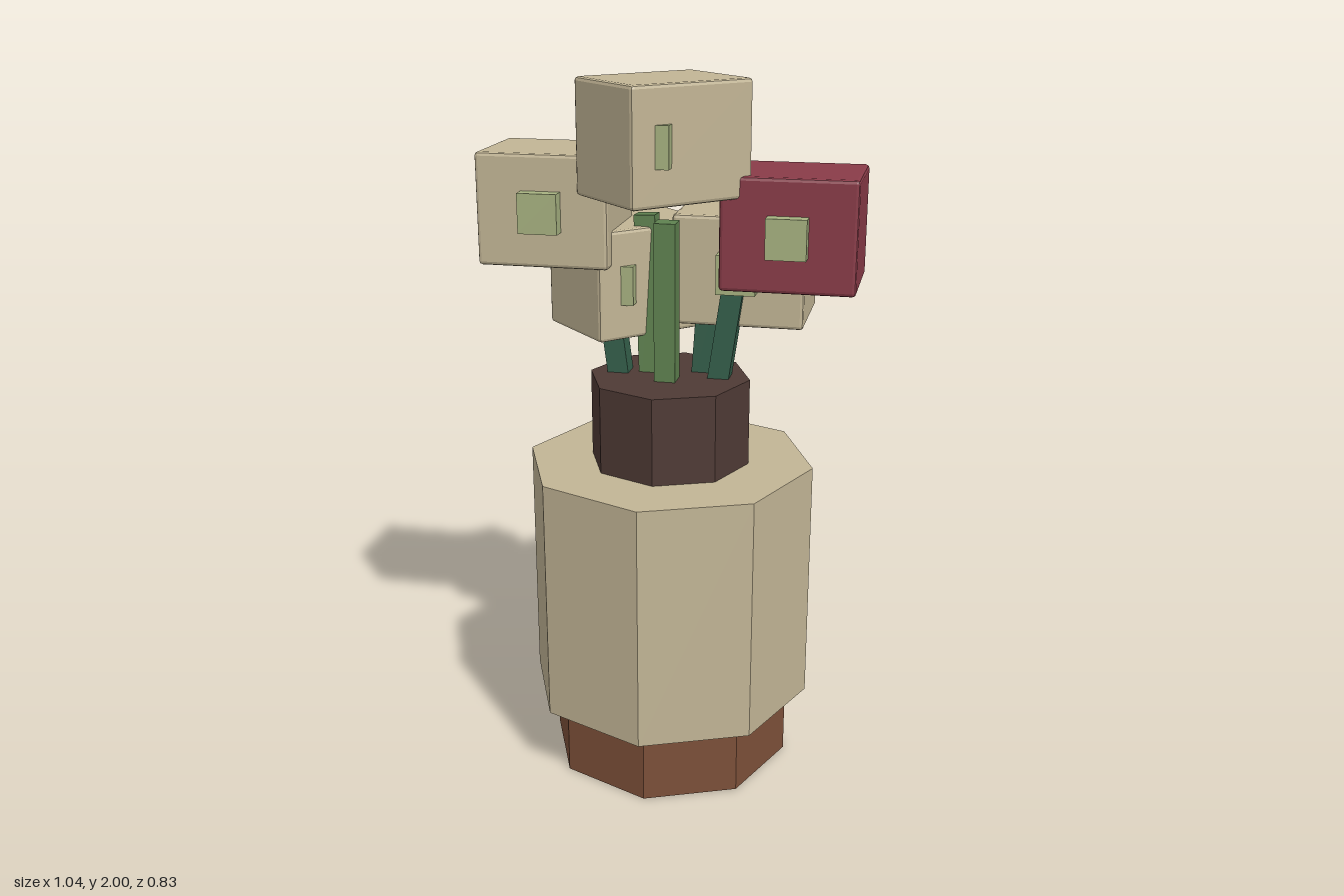
import * as THREE from 'three';
import { RoundedBoxGeometry } from 'three/addons/geometries/RoundedBoxGeometry.js';

function mat(name, color) {
  const m = new THREE.MeshStandardMaterial({ color, flatShading: true });
  m.name = name;
  return m;
}

export function createModel() {
  const beige = mat('beige', 0xc2b595);
  const red = mat('dark red', 0x893b48);
  const clay = mat('clay brown', 0x7c5039);
  const brown = mat('dark brown', 0x4f3a35);
  const green = mat('leaf green', 0x5f8250);
  const deepGreen = mat('deep green', 0x345e4a);
  const paleGreen = mat('pale green', 0xa7b281);

  const model = new THREE.Group();
  model.name = 'flowerVase';
  function add(parent, name, geometry, material, x, y, z) {
    const mesh = new THREE.Mesh(geometry, material);
    mesh.name = name;
    mesh.position.set(x, y, z);
    parent.add(mesh);
    return mesh;
  }

  // Octagonal vase: name, radius, bottom, top, colour
  const vase = new THREE.Group();
  vase.name = 'vase';
  model.add(vase);
  for (const [name, r, y0, y1, m] of [
    ['vaseBase', 0.355, 0, 0.21, clay],
    ['vaseBody', 0.415, 0.21, 0.92, beige],
    ['vaseNeck', 0.23, 0.92, 1.17, brown],
  ]) add(vase, name, new THREE.CylinderGeometry(r, r, y1 - y0, 8), m, 0, (y0 + y1) / 2, 0);

  // Square stems, leaning from the neck towards the blooms
  for (const [name, a, b, m] of [
    ['centreStem', [0, 1.1, 0.04], [0, 1.615, 0.04], green],
    ['shortStem', [-0.06, 1.1, -0.04], [-0.08, 1.615, -0.065], green],
    ['leftStem', [-0.14, 1.1, -0.02], [-0.2, 1.56, -0.03], deepGreen],
    ['rightStem', [0.13, 1.1, -0.02], [0.19, 1.52, -0.025], deepGreen],
    ['backStem', [0.08, 1.1, -0.07], [0.1, 1.42, -0.08], deepGreen],
  ]) {
    const from = new THREE.Vector3(...a), dir = new THREE.Vector3(...b).sub(from);
    const length = dir.length();
    const mid = from.clone().addScaledVector(dir, 0.5);
    const stem = add(model, name, new THREE.BoxGeometry(0.06, length, 0.06), m, mid.x, mid.y, mid.z);
    stem.quaternion.setFromUnitVectors(new THREE.Vector3(0, 1, 0), dir.normalize());
  }

  // Blooms: chamfered blocks, some turned, each with a forward-facing centre
  const block = new RoundedBoxGeometry(0.37, 0.31, 0.29, 1, 0.01);
  const centre = new THREE.BoxGeometry(0.11, 0.11, 0.1);
  for (const [name, x, y, z, turn, m] of [
    ['topBloom', 0, 1.845, 0.08, Math.PI / 4, beige],
    ['redBloom', 0.335, 1.595, -0.065, 0, red],
    ['sideBloom', -0.335, 1.64, -0.045, 0, beige],
    ['lowBloom', -0.15, 1.43, -0.147, Math.PI / 4, beige],
    ['backBloom', 0.187, 1.47, -0.165, 0, beige],
  ]) {
    const bloom = new THREE.Group();
    bloom.name = name;
    bloom.position.set(x, y, z);
    add(bloom, 'bloomHead', block, m, 0, 0, 0).rotation.y = turn;
    add(bloom, 'bloomCentre', centre, paleGreen, 0, 0, 0.135);
    model.add(bloom);
  }
  return model;
}
